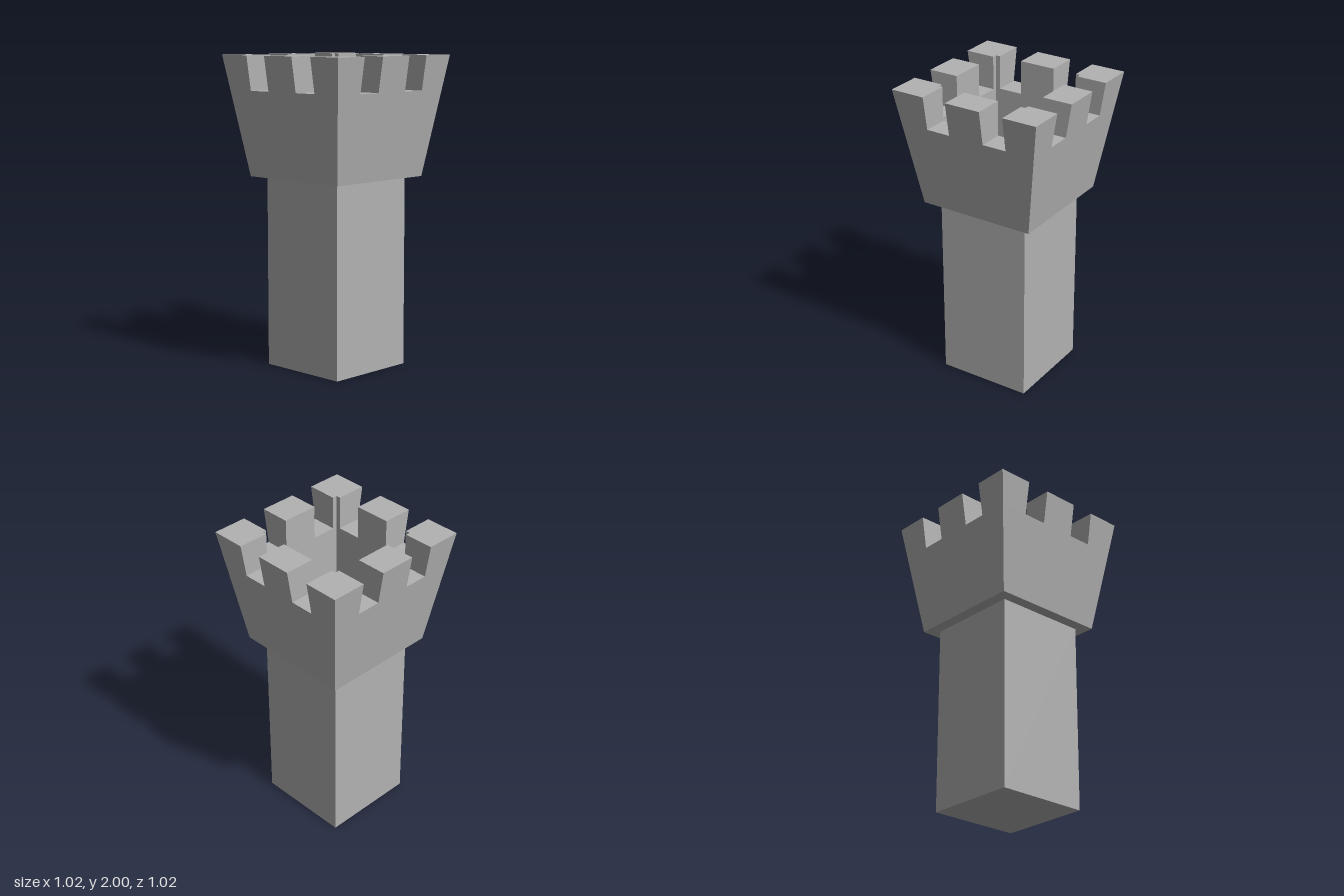
import * as THREE from 'three';

const BASE = 1.23, SILL = 1.78, TOP = 2, INNER = 0.31, OUTER = 0.508;

// Half-width of the flared outer wall at height y
const flare = (y) => 0.385 + (OUTER - 0.385) * (y - BASE) / (TOP - BASE);

// Upright block from a footprint; its outer sides follow the flare
function merlonGeometry(points) {
  const shape = new THREE.Shape(points.map(([x, z]) => new THREE.Vector2(x, z)));
  const geo = new THREE.ExtrudeGeometry(shape, { depth: TOP - SILL, bevelEnabled: false });
  geo.rotateX(-Math.PI / 2).translate(0, SILL, 0);
  const p = geo.attributes.position;
  for (let i = 0; i < p.count; i++) {
    const r = flare(p.getY(i));
    if (Math.abs(p.getX(i)) > 0.5) p.setX(i, Math.sign(p.getX(i)) * r);
    if (Math.abs(p.getZ(i)) > 0.5) p.setZ(i, Math.sign(p.getZ(i)) * r);
  }
  geo.computeVertexNormals();
  return geo;
}

export function createModel() {
  const model = new THREE.Group();
  model.name = 'castleTower';
  const stone = new THREE.MeshStandardMaterial({ color: 0xb2b2b2, flatShading: true });
  stone.name = 'grey stone';

  const add = (name, geo, turn = 0) => {
    const mesh = new THREE.Mesh(geo, stone);
    mesh.name = name;
    mesh.rotation.y = turn;
    model.add(mesh);
  };

  // Square shaft, its top is the floor of the battlement
  add('shaft', new THREE.BoxGeometry(INNER * 2, BASE, INNER * 2).translate(0, BASE / 2, 0));

  // Flared square parapet with a straight inner well
  const profile = [[INNER, BASE], [flare(BASE), BASE], [flare(SILL), SILL], [INNER, SILL], [INNER, BASE]]
    .map(([r, y]) => new THREE.Vector2(r * Math.SQRT2, y));
  const wall = new THREE.LatheGeometry(profile, 4, Math.PI / 4).toNonIndexed();
  wall.computeVertexNormals();
  add('parapetWall', wall);

  // Middle and corner merlons; the corner ones are notched by the well
  const middle = merlonGeometry([[INNER, -0.12], [OUTER, -0.12], [OUTER, 0.12], [INNER, 0.12]]);
  const corner = merlonGeometry([
    [INNER, 0.28], [OUTER, 0.28], [OUTER, OUTER], [0.28, OUTER], [0.28, INNER], [INNER, INNER],
  ]);
  for (let i = 0; i < 4; i++) {
    add('middleMerlon', middle, i * Math.PI / 2);
    add('cornerMerlon', corner, i * Math.PI / 2);
  }
  return model;
}
